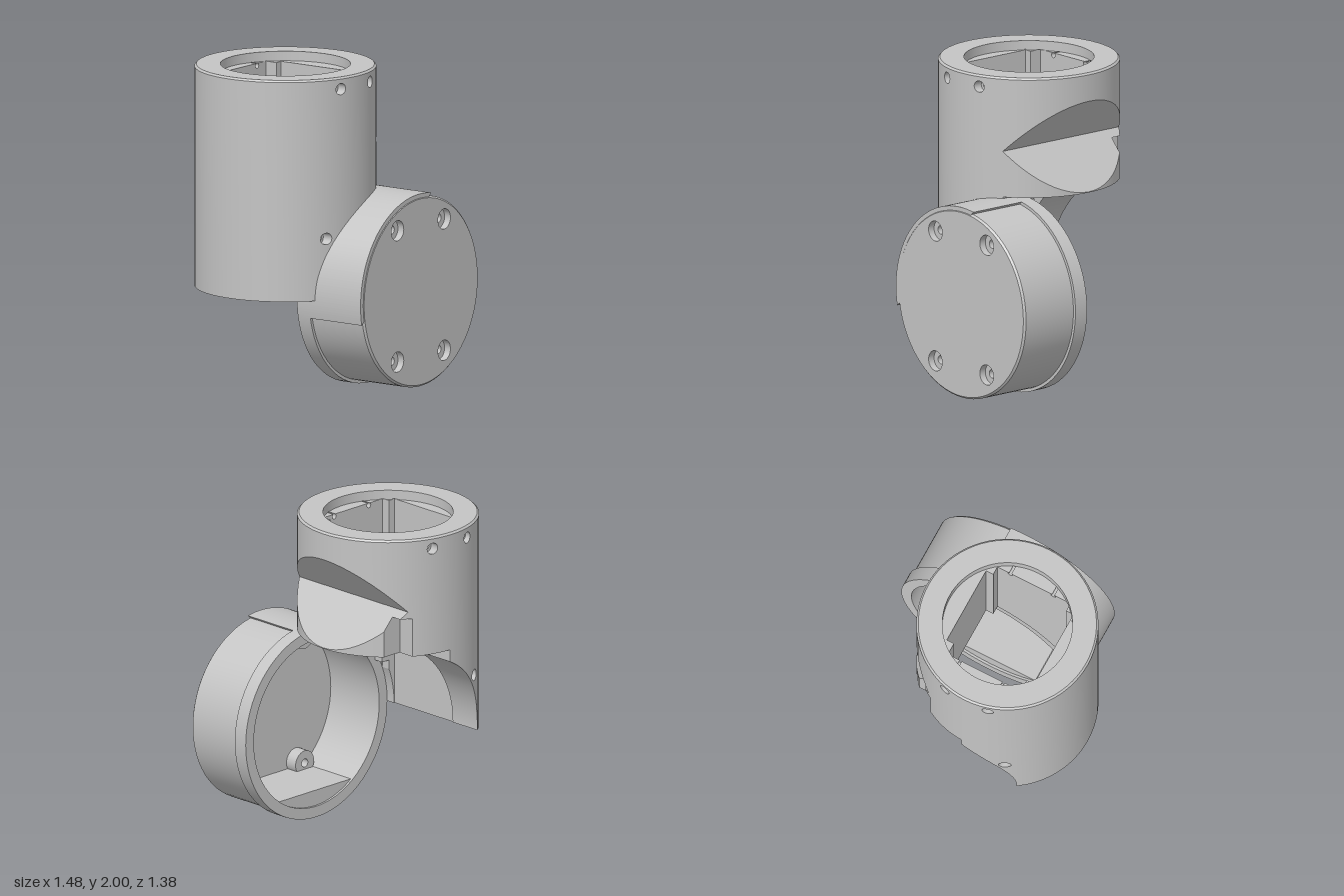
import * as THREE from 'three';
import { toCreasedNormals } from 'three/addons/utils/BufferGeometryUtils.js';

const EPS = 1e-6;
const V = (x, y, z) => new THREE.Vector3(x, y, z);

// Convex solid: triangles with smooth normals, plus its bounding planes
function convex(geometry) {
  const g = geometry.index ? geometry.toNonIndexed() : geometry;
  g.computeBoundingBox();
  const centre = g.boundingBox.getCenter(V());
  const P = g.attributes.position, N = g.attributes.normal;
  const polys = [], planes = new Map();
  for (let i = 0; i < P.count; i += 3) {
    const tri = [0, 1, 2].map(k => ({
      p: V().fromBufferAttribute(P, i + k), n: V().fromBufferAttribute(N, i + k)
    }));
    const face = V().crossVectors(tri[1].p.clone().sub(tri[0].p), tri[2].p.clone().sub(tri[0].p));
    if (face.length() < 1e-8) continue;
    face.normalize();
    if (face.dot(tri[0].p.clone().sub(centre)) < 0) { face.negate(); tri.reverse(); }
    for (const v of tri) {
      if (v.n.length() < 0.5) v.n.copy(face);
      if (v.n.dot(face) < 0) v.n.negate();
    }
    const w = face.dot(tri[0].p);
    planes.set([face.x, face.y, face.z, w].map(a => Math.round(a * 1000)).join(), { n: face, w });
    polys.push(tri);
  }
  return { polys, planes: [...planes.values()] };
}

// Split a polygon by a plane into its outer and inner parts
function split(poly, { n, w }) {
  const d = poly.map(v => n.dot(v.p) - w);
  if (d.every(a => a > -EPS)) return [poly, null];
  if (d.every(a => a < EPS)) return [null, poly];
  const out = [], inn = [];
  poly.forEach((a, i) => {
    const j = (i + 1) % poly.length, b = poly[j];
    if (d[i] > -EPS) out.push(a);
    if (d[i] < EPS) inn.push(a);
    if ((d[i] > EPS && d[j] < -EPS) || (d[i] < -EPS && d[j] > EPS)) {
      const t = d[i] / (d[i] - d[j]);
      const m = { p: a.p.clone().lerp(b.p, t), n: a.n.clone().lerp(b.n, t).normalize() };
      out.push(m); inn.push(m);
    }
  });
  return [out.length > 2 ? out : null, inn.length > 2 ? inn : null];
}

function outside(polys, planes) {
  const result = [];
  for (const poly of polys) {
    if (planes.some(q => poly.every(v => q.n.dot(v.p) - q.w > -EPS))) { result.push(poly); continue; }
    let rest = poly;
    for (const q of planes) {
      const [o, i] = split(rest, q);
      if (o) result.push(o);
      rest = i;
      if (!rest) break;
    }
  }
  return result;
}

const inside = (polys, planes) => planes.reduce(
  (list, q) => list.map(p => split(p, q)[1]).filter(Boolean), polys);

// Convex base minus convex cutters
function carve(base, cutters) {
  let polys = cutters.reduce((list, c) => outside(list, c.planes), base.polys);
  for (const c of cutters) {
    let walls = inside(c.polys, base.planes);
    for (const o of cutters) if (o !== c) walls = outside(walls, o.planes);
    polys = polys.concat(walls.map(p => p.map(v => ({ p: v.p, n: v.n.clone().negate() })).reverse()));
  }
  const pos = [], nor = [];
  for (const p of polys) for (let i = 1; i < p.length - 1; i++) {
    for (const v of [p[0], p[i], p[i + 1]]) { pos.push(...v.p.toArray()); nor.push(...v.n.toArray()); }
  }
  const g = new THREE.BufferGeometry();
  g.setAttribute('position', new THREE.Float32BufferAttribute(pos, 3));
  g.setAttribute('normal', new THREE.Float32BufferAttribute(nor, 3));
  return g;
}

// Convex building blocks
const box = (x0, x1, y0, y1, z0, z1) => convex(new THREE.BoxGeometry(x1 - x0, y1 - y0, z1 - z0)
  .translate((x0 + x1) / 2, (y0 + y1) / 2, (z0 + z1) / 2));
const upright = (x, z, r, y0, y1) => convex(new THREE.CylinderGeometry(r, r, y1 - y0, 72)
  .translate(x, (y0 + y1) / 2, z));
const along = (x, y, r, z0, z1, sides = 72) => convex(
  new THREE.CylinderGeometry(r, r, z1 - z0, sides).rotateX(Math.PI / 2).translate(x, y, (z0 + z1) / 2));
const prism = (shape, z0, z1) => convex(new THREE.ExtrudeGeometry(shape,
  { depth: z1 - z0, bevelEnabled: false, curveSegments: 40 }).translate(0, 0, z0));
const chamfered = (r, h, c) => toCreasedNormals(new THREE.LatheGeometry(
  [[0, 0], [r, 0], [r, h - c], [r - c, h], [0, h]].map(p => new THREE.Vector2(...p)), 72).toNonIndexed(), 0.5);

export function createModel() {
  const group = new THREE.Group();
  const grey = new THREE.MeshStandardMaterial({ color: 0xc4c4c4 });
  const add = (name, base, cutters) => {
    const mesh = new THREE.Mesh(carve(base, cutters), grey);
    mesh.name = name;
    group.add(mesh);
  };

  const bx = -0.18, bz = -0.13, br = 0.562;  // upright tube
  const dx = 0.12, dy = 0.615;               // drum axis

  // Small screw holes through front and back of the tube
  const tubeHoles = [];
  for (const [x, y] of [[-0.33, 1.925], [-0.03, 1.925], [-0.43, 0.995]]) {
    const s = Math.sqrt(br * br - (x - bx) ** 2) - 0.05;
    tubeHoles.push(along(x, y, 0.017, -1, 1, 12),
      along(x, y, 0.036, bz + s, 0.8, 20), along(x, y, 0.036, -1, bz - s, 20));
  }

  // Tube with bore, square shaft with recessed walls, side notch and round scoop
  const notch = new THREE.Shape([[0.118, 1.53], [0.618, 0.99], [0.618, 2.08]]
    .map(p => new THREE.Vector2(...p)));
  add('tubeBody', convex(chamfered(br, 1.39, 0.012).translate(bx, 0.61, bz)), [
    upright(bx, bz, 0.402, 1.94, 2.2),
    box(-0.5, 0.11, 0.3, 1.945, -0.38, 0.135),
    box(-0.45, 0.06, 0.32, 1.944, -0.2, 0.19),
    box(-0.45, 0.06, 1.35, 1.943, -0.46, -0.3),
    prism(notch, -1, 1),
    along(dx, dy, 0.614, -1.1, 1.1),
    box(dx, 1, 0.2, 1.24, -1.2, 1.2),
    box(-0.16, 0.6, 0.9, 1.238, -1.1, -0.37),
    box(0.095, 0.5, 1, 1.485, -0.9, -0.51),
    ...tubeHoles
  ]);

  // Drum: hollow from the back, with four countersunk screw holes
  const screws = [];
  for (const x of [-0.12, 0.36]) for (const y of [0.21, 1.035]) screws.push([x, y]);
  const screwHoles = screws.flatMap(([x, y]) => [
    along(x, y, 0.027, 0.1, 0.9, 16), along(x, y, 0.064, 0.645, 0.85, 28)]);
  const drumCuts = [along(dx, dy, 0.545, 0.05, 0.62), ...screwHoles];
  add('drumShell', convex(chamfered(0.596, 0.44, 0.012).rotateX(Math.PI / 2).translate(dx, dy, 0.25)), drumCuts);
  add('drumRim', along(dx, dy, 0.615, 0.195, 0.29), drumCuts);

  // Thicker wall on the upper left of the drum
  const sector = new THREE.Shape();
  sector.moveTo(dx, dy);
  sector.absarc(dx, dy, 0.615, 1.39, 3.34, false);
  add('drumThickWall', prism(sector, 0.24, 0.686), drumCuts);

  // Flat pad inside the bottom of the drum
  const pad = new THREE.Shape();
  pad.absarc(dx, dy, 0.56, Math.PI * 1.5 - 0.65, Math.PI * 1.5 + 0.65, false);
  add('drumPad', prism(pad, 0.21, 0.63), screwHoles);

  // Screw bosses on the inner face
  for (const [x, y] of screws) add('screwBoss', along(x, y, 0.08, 0.54, 0.63, 28), screwHoles);

  // Small lug where the drum meets the shaft
  add('lug', box(-0.45, -0.39, 0.9, 1.09, 0.135, 0.22), tubeHoles);

  return group;
}
